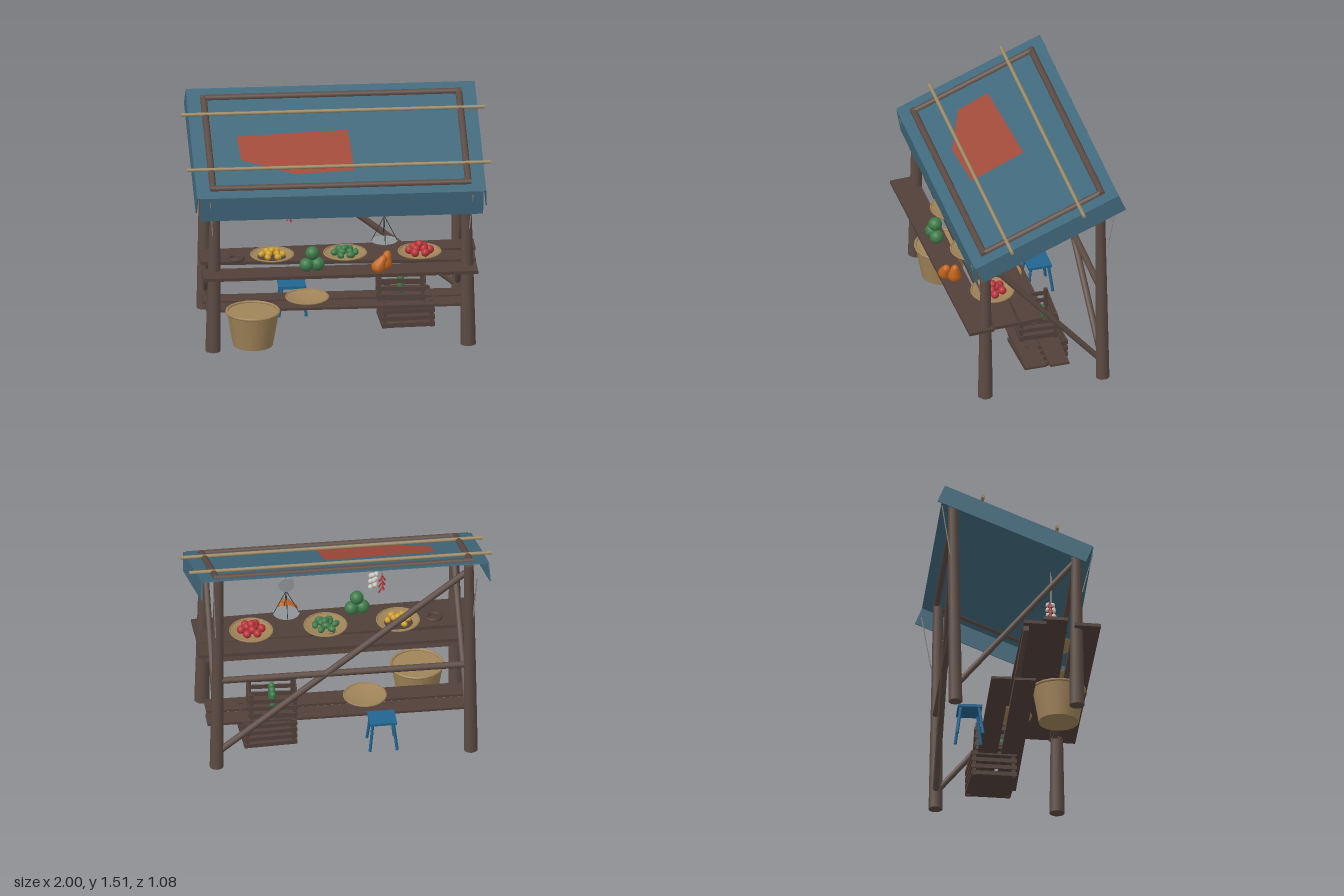
import * as THREE from 'three';

const V = (x, y, z) => new THREE.Vector3(x, y, z);
const mat = (color, side = THREE.FrontSide) => new THREE.MeshStandardMaterial({ color, side });
const WOOD = mat(0x5c4b43), PLANK = mat(0x514039), CLOTH = mat(0x41697c, THREE.DoubleSide);
const PATCH = mat(0xa04a3a, THREE.DoubleSide), BAMBOO = mat(0x9c8a66), WICKER = mat(0xa08459, THREE.DoubleSide);
const ROPE = mat(0x8f8c80), WIRE = mat(0x35383a), METAL = mat(0x8f9396), BLUE = mat(0x22648f);
const RED = mat(0xb83238), GREEN = mat(0x3d7a48), YELLOW = mat(0xcf9f2c), ORANGE = mat(0xc5661f), WHITE = mat(0xcac8c0);

export function createModel() {
  const model = new THREE.Group();

  const add = (name, geo, material, x = 0, y = 0, z = 0, parent = model) => {
    const m = new THREE.Mesh(geo, material);
    m.name = name;
    m.position.set(x, y, z);
    parent.add(m);
    return m;
  };
  // Round bar between two points
  const pole = (name, a, b, r0, r1 = r0, material = WOOD, parent = model, seg = 12) => {
    const d = b.clone().sub(a);
    const m = add(name, new THREE.CylinderGeometry(r1, r0, d.length(), seg), material, 0, 0, 0, parent);
    m.position.copy(a).addScaledVector(d, 0.5);
    m.quaternion.setFromUnitVectors(V(0, 1, 0), d.normalize());
    return m;
  };
  const box = (name, w, h, d, material, x, y, z, parent = model) =>
    add(name, new THREE.BoxGeometry(w, h, d), material, x, y, z, parent);
  const group = (name, x, y, z, parent = model) => {
    const g = new THREE.Group();
    g.name = name;
    g.position.set(x, y, z);
    parent.add(g);
    return g;
  };

  // Posts and side braces
  for (const s of [-1, 1]) {
    pole('frontPost', V(s * 0.84, 0, 0.39), V(s * 0.825, 1.13, 0.385), 0.05, 0.032);
    pole('backPost', V(s * 0.84, 0, -0.41), V(s * 0.825, 1.46, s > 0 ? -0.395 : -0.425), 0.046, 0.032);
    pole('sideBrace', V(s * 0.83, 0.14, -0.39), V(s * 0.82, 1.04, 0.37), 0.02);
  }
  pole('backBrace', V(0.82, 0.12, -0.41), V(-0.82, 1.4, -0.41), 0.022);
  pole('backRail', V(-0.83, 0.67, -0.41), V(0.83, 0.67, -0.41), 0.022);

  // Sloping canopy, built flat and then tilted towards the front
  const canopy = group('canopy', 0, 1.306, 0);
  canopy.rotation.x = 0.392;
  box('canopySheet', 1.9, 0.006, 1.056, CLOTH, 0, -0.004, 0, canopy);
  for (const s of [-1, 1]) {
    const v = box('sideValance', 0.008, 0.126, 1.056, CLOTH, s * 0.951, -0.063, 0, canopy);
    v.rotation.z = s * 0.05;
    pole('frameSide', V(s * 0.84, 0, -0.44), V(s * 0.84, 0, 0.43), 0.022, 0.022, WOOD, canopy);
    pole('frameCross', V(-0.86, 0, s * 0.435), V(0.86, 0, s * 0.435), 0.022, 0.022, WOOD, canopy);
    pole('bambooPole', V(-1, 0.014, s * 0.265), V(1, 0.014, s * 0.265), 0.012, 0.012, BAMBOO, canopy);
  }
  const patch = new THREE.Shape([[-0.65, 0.055], [0.085, 0.092], [0.1, -0.295], [-0.29, -0.32], [-0.635, -0.17]]
    .map(p => new THREE.Vector2(...p)));
  add('clothPatch', new THREE.ShapeGeometry(patch), PATCH, 0, 0.003, 0, canopy).rotation.x = -Math.PI / 2;

  // Hanging front flap and tie ropes
  box('frontFlap', 1.865, 0.17, 0.006, CLOTH, 0, 1.022, 0.476).rotation.x = 0.17;
  for (const s of [-1, 1]) {
    pole('frontRope', V(s * 0.865, 1.08, 0.49), V(s * 0.845, 0.82, 0.425), 0.004, 0.004, ROPE, model, 5);
    pole('backRope', V(s * 0.87, 1.4, -0.5), V(s * 0.85, 1.03, -0.44), 0.004, 0.004, ROPE, model, 5);
  }

  // Display counter: three uneven planks on two bearers
  const planks = [[0.443, 0.55, 0.17, 0.016, -0.004, -0.01], [0.255, 0.578, 0.16, -0.01, -0.014, -0.01],
    [0.1, 0.572, 0.15, 0.012, 0.008, 0]];
  for (const [z, y, w, ry, rz, x] of planks)
    box('counterPlank', 1.81, 0.022, w, PLANK, x, y, z).rotation.set(0.03, ry, rz);
  for (const z of [0.055, 0.375]) box('counterBearer', 1.72, 0.034, 0.034, WOOD, 0, 0.538, z);

  // Lower shelf
  box('lowerPlank', 1.72, 0.016, 0.14, PLANK, 0, 0.17, 0.05);
  box('lowerPlank', 1.74, 0.016, 0.13, PLANK, 0, 0.17, -0.11);

  // Shallow wicker trays
  const tray = (x, y, z) => {
    const g = group('wickerTray', x, y, z);
    const profile = [[0, 0.004], [0.09, 0.005], [0.14, 0.028], [0.144, 0.024], [0.095, 0], [0, 0]];
    add('trayBowl', new THREE.LatheGeometry(profile.map(p => new THREE.Vector2(...p)), 20), WICKER, 0, 0, 0, g);
    add('trayRim', new THREE.TorusGeometry(0.14, 0.006, 6, 20), WICKER, 0, 0.026, 0, g).rotation.x = Math.PI / 2;
    return g;
  };
  // Fruit heap: outer ring, inner ring and one on top
  const heap = (g, name, r, material, stretch = 1) => {
    const geo = new THREE.SphereGeometry(r, 12, 8).scale(1, 1, stretch);
    [[6, 0.068, 0], [3, 0.03, 0.4], [1, 0, 1.3]].forEach(([n, radius, lift]) => {
      for (let i = 0; i < n; i++) {
        const a = i / n * Math.PI * 2 + lift;
        add(name, geo, material, Math.cos(a) * radius, 0.008 + r + lift * r, Math.sin(a) * radius, g).rotation.y = a * 1.7;
      }
    });
  };
  heap(tray(-0.44, 0.588, 0.255), 'yellowFruit', 0.02, YELLOW, 1.25);
  heap(tray(0.04, 0.586, 0.255), 'greenPepper', 0.022, GREEN, 1.4);
  heap(tray(0.53, 0.582, 0.255), 'redFruit', 0.028, RED);
  tray(-0.19, 0.185, 0.0);
  add('ropeCoil', new THREE.TorusGeometry(0.045, 0.014, 6, 18), PLANK, -0.68, 0.6, 0.28).rotation.x = Math.PI / 2;

  // Melons and squashes on the front plank
  for (const [x, y, z] of [[-0.23, 0.608, 0.45], [-0.155, 0.608, 0.44], [-0.19, 0.685, 0.44]])
    add('melon', new THREE.SphereGeometry(0.046, 16, 12), GREEN, x, y, z);
  const squash = [[0, -0.062], [0.03, -0.056], [0.045, -0.03], [0.04, 0], [0.028, 0.03], [0.025, 0.05], [0.014, 0.064], [0, 0.067]];
  const squashGeo = new THREE.LatheGeometry(squash.map(p => new THREE.Vector2(...p)), 14);
  add('squash', squashGeo, ORANGE, 0.25, 0.615, 0.495).rotation.z = -0.55;
  add('squash', squashGeo, ORANGE, 0.295, 0.622, 0.445).rotation.z = -0.2;

  // Hanging scale
  const scale = group('hangingScale', 0.295, 0, 0.29);
  pole('scaleHook', V(0, 0.95, 0), V(0, 1.18, 0), 0.003, 0.003, WIRE, scale, 5);
  add('scaleDial', new THREE.CylinderGeometry(0.052, 0.052, 0.02, 20), METAL, 0, 0.925, 0, scale).rotation.x = Math.PI / 2;
  add('scalePan', new THREE.CylinderGeometry(0.088, 0.068, 0.012, 20), METAL, 0, 0.698, 0, scale);
  for (let i = 0; i < 4; i++) {
    const a = i * Math.PI / 2;
    pole('scaleString', V(0, 0.875, 0), V(Math.cos(a) * 0.085, 0.703, Math.sin(a) * 0.085), 0.0025, 0.0025, WIRE, scale, 5);
  }

  // Strings of garlic and chillies
  pole('garlicString', V(-0.28, 0.87, 0.265), V(-0.28, 1.19, 0.265), 0.003, 0.003, ROPE, model, 5);
  pole('chilliString', V(-0.335, 0.86, 0.255), V(-0.335, 1.19, 0.255), 0.003, 0.003, ROPE, model, 5);
  for (let i = 0; i < 9; i++) {
    const a = i * 2.2;
    add('garlicBulb', new THREE.SphereGeometry(0.017, 10, 8), WHITE,
      -0.28 + Math.cos(a) * 0.02, 0.88 + i * 0.013, 0.265 + Math.sin(a) * 0.022);
    const p = V(-0.335, 0.88 + i * 0.013, 0.255);
    pole('chilli', p, p.clone().add(V(Math.cos(a) * 0.022, -0.042, Math.sin(a) * 0.018)), 0.002, 0.007, RED, model, 6);
  }

  // Large basket
  const basket = group('largeBasket', -0.57, 0, 0.29);
  add('basketBody', new THREE.CylinderGeometry(0.172, 0.132, 0.228, 18), WICKER, 0, 0.114, 0, basket);
  add('basketRim', new THREE.TorusGeometry(0.172, 0.01, 8, 18), WICKER, 0, 0.232, 0, basket).rotation.x = Math.PI / 2;

  // Stool
  const stool = group('stool', -0.27, 0, -0.275);
  box('stoolSeat', 0.18, 0.018, 0.16, BLUE, 0, 0.2, 0, stool);
  for (const sx of [-1, 1]) for (const sz of [-1, 1])
    pole('stoolLeg', V(sx * 0.09, 0, sz * 0.085), V(sx * 0.068, 0.195, sz * 0.06), 0.01, 0.01, BLUE, stool, 8);

  // Slatted crates
  const crate = (x, y, z, w, h, d, slats, turn) => {
    const g = group('crate', x, y, z);
    g.rotation.y = turn;
    box('crateFloor', w - 0.02, 0.012, d - 0.02, PLANK, 0, 0.012, 0, g);
    for (const s of [-1, 1]) {
      for (const t of [-1, 1])
        box('cratePost', 0.024, h, 0.024, PLANK, s * (w / 2 - 0.02), h / 2, t * (d / 2 - 0.02), g);
      for (const sy of slats) {
        box('crateSlat', w, 0.028, 0.01, PLANK, 0, sy, s * (d / 2 - 0.005), g);
        box('crateSlat', 0.01, 0.028, d, PLANK, s * (w / 2 - 0.005), sy, 0, g);
      }
    }
    return g;
  };
  crate(0.465, 0, -0.075, 0.35, 0.186, 0.3, [0.02, 0.068, 0.116, 0.164], 0.05);
  const upper = crate(0.43, 0.187, -0.055, 0.325, 0.188, 0.27, [0.035, 0.09, 0.145], -0.05);
  for (const z of [-0.055, 0, 0.055])
    add('cucumber', new THREE.CapsuleGeometry(0.022, 0.09, 4, 10), GREEN, 0, 0.1, z, upper);

  return model;
}
